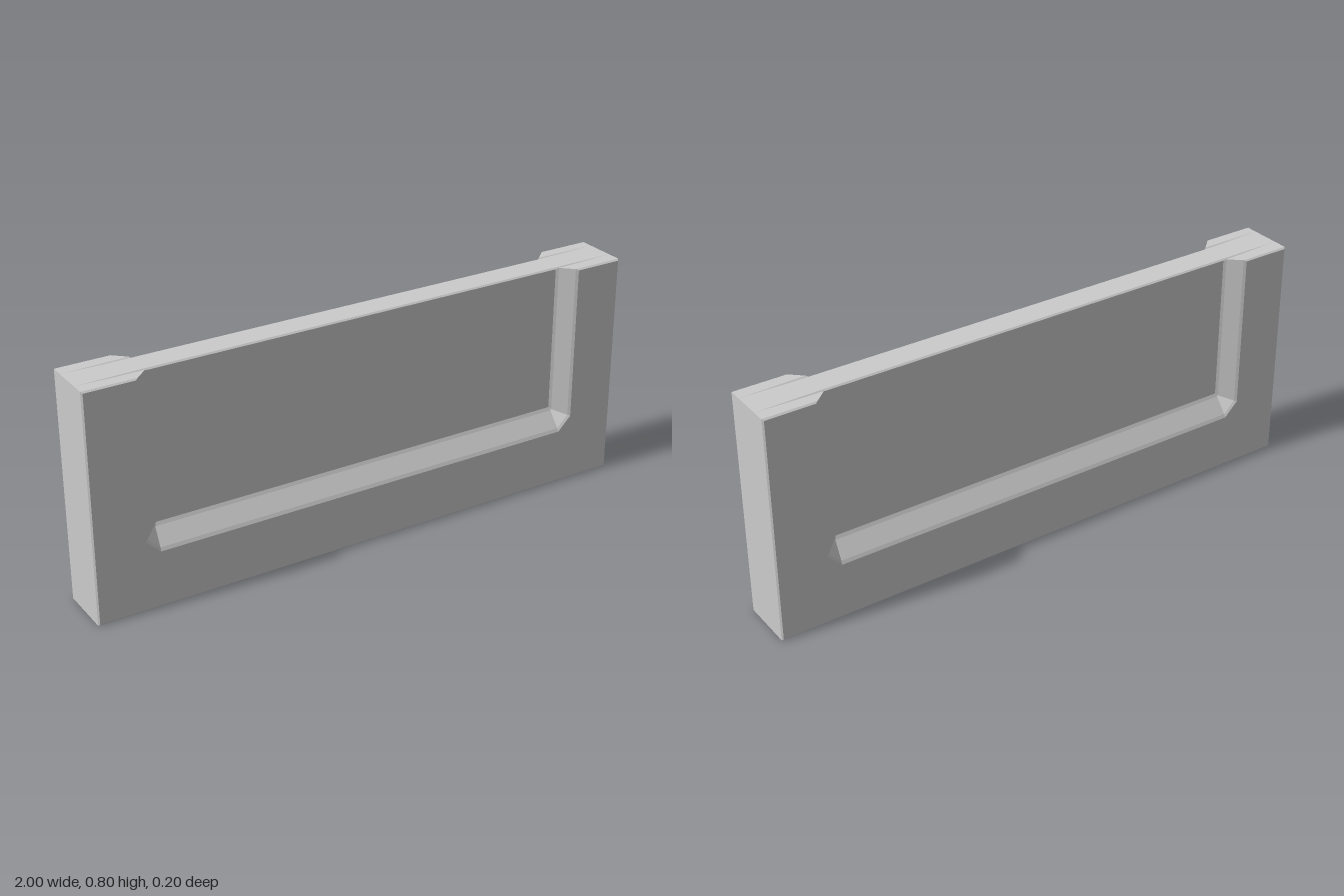
import * as THREE from 'three';

const W = 1, H = 0.8, D = 0.1, EDGE = 0.005;

// Outline of the slab at one depth: a rectangle with a notch open at the top.
// t runs from 0 (rim of the recess) to 1 (foot of its sloped wall).
function outline({ t, inset = 0, top = H - inset, filled = false }) {
  const x = W - inset;
  const w = 0.82 - 0.05 * t;
  const c = filled ? 0 : 0.045 * Math.max(0, 1 - t);
  const y = filled ? top : 0.205 + 0.065 * t;
  const right = [[x, inset], [x, H - inset], [w, top], [w, y + c], [w - c, y]];
  const left = right.map(([px, py]) => [-px, py]).reverse();
  return [...right, ...left];
}

// Depth sections from the front face to the middle; the back mirrors them.
const sections = [
  { z: D, t: -0.1, inset: EDGE },
  { z: D - 0.0055, t: 0.08 },
  { z: 0.0555, t: 0.92 },
  { z: 0.05, t: 1.1, top: H - EDGE },
  { z: 0.05, t: 1.1, top: H - EDGE, filled: true },
  { z: 0.045, t: 1.1, filled: true },
];

function buildSlab() {
  const rings = sections.map((s) => outline(s).map(([x, y]) => new THREE.Vector3(x, y, s.z)));
  const back = rings.map((r) => r.map((p) => new THREE.Vector3(p.x, p.y, -p.z))).reverse();
  const all = [...rings, ...back];

  const positions = [];
  const tri = (a, b, c) => {
    if (new THREE.Triangle(a, b, c).getArea() < 1e-8) return;
    for (const p of [a, b, c]) positions.push(p.x, p.y, p.z);
  };

  // Walls between neighbouring sections
  for (let j = 0; j < all.length - 1; j++) {
    const near = all[j], far = all[j + 1], n = near.length;
    for (let i = 0; i < n; i++) {
      const k = (i + 1) % n;
      tri(near[i], far[i], near[k]);
      tri(near[k], far[i], far[k]);
    }
  }

  // U-shaped front and back faces
  const front = all[0], rear = all[all.length - 1];
  const contour = front.map((p) => new THREE.Vector2(p.x, p.y));
  for (const [a, b, c] of THREE.ShapeUtils.triangulateShape(contour, [])) {
    tri(front[a], front[b], front[c]);
    tri(rear[a], rear[c], rear[b]);
  }

  const geometry = new THREE.BufferGeometry();
  geometry.setAttribute('position', new THREE.Float32BufferAttribute(positions, 3));
  geometry.computeVertexNormals();
  return geometry;
}

export function createModel() {
  const group = new THREE.Group();
  group.name = 'recessedPanel';
  const material = new THREE.MeshStandardMaterial({ color: 0xcccccc, flatShading: true });
  const slab = new THREE.Mesh(buildSlab(), material);
  slab.name = 'slab';
  group.add(slab);
  return group;
}
